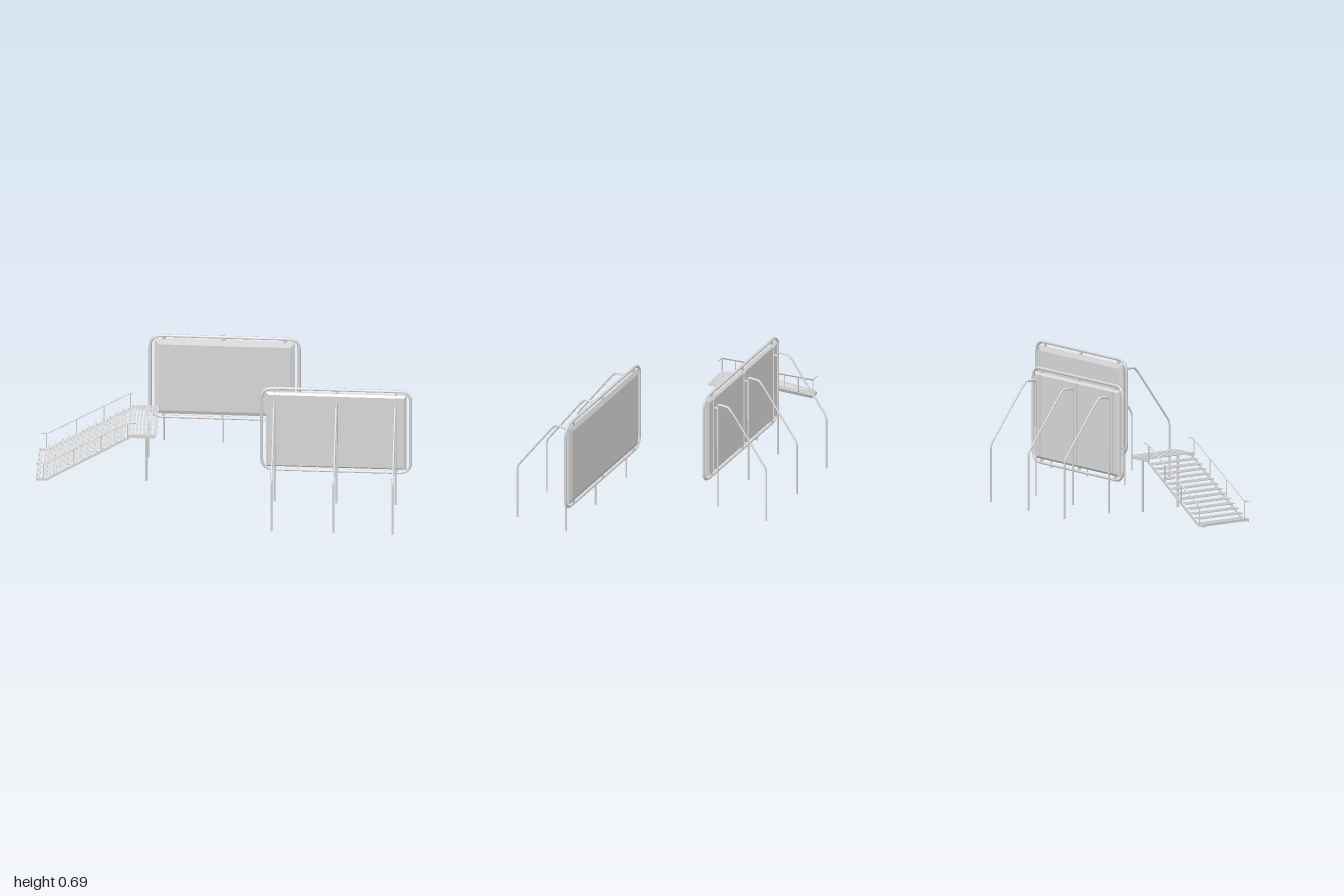
import * as THREE from 'three';

const steel = new THREE.MeshStandardMaterial({ color: 0xd9d9d9, side: THREE.DoubleSide });
steel.name = 'light grey steel';
const V = (x, y, z) => new THREE.Vector3(x, y, z);

function add(parent, name, geometry, x = 0, y = 0, z = 0) {
  const mesh = new THREE.Mesh(geometry, steel);
  mesh.name = name;
  mesh.position.set(x, y, z);
  parent.add(mesh);
  return mesh;
}

const box = (parent, name, w, h, d, x, y, z) =>
  add(parent, name, new THREE.BoxGeometry(w, h, d), x, y, z);

// Pipe along straight runs with rounded bends
function pipe(parent, name, points, radius, bend, closed = false, segments = 60) {
  const path = new THREE.CurvePath();
  const n = points.length;
  const corner = i => {
    const p = points[i], a = points[(i + n - 1) % n], b = points[(i + 1) % n];
    return [p.clone().add(a.clone().sub(p).setLength(bend)), p, p.clone().add(b.clone().sub(p).setLength(bend))];
  };
  let last = closed ? corner(n - 1)[2] : points[0];
  for (let i = closed ? 0 : 1; i < (closed ? n : n - 1); i++) {
    const [a, p, b] = corner(i);
    path.add(new THREE.LineCurve3(last, a));
    path.add(new THREE.QuadraticBezierCurve3(a, p, b));
    last = b;
  }
  if (!closed) path.add(new THREE.LineCurve3(last, points[n - 1]));
  return add(parent, name, new THREE.TubeGeometry(path, segments, radius, 8, closed));
}

// Board with bevelled edges on both faces
function boardGeometry(w, h, d) {
  const g = new THREE.BoxGeometry(w, h, d, 1, 1, 3);
  const p = g.attributes.position;
  for (let i = 0; i < p.count; i++) {
    const z = p.getZ(i);
    if (Math.abs(z) < d * 0.4) continue;
    const inset = z < 0 ? 0.025 : 0.012;
    p.setX(i, p.getX(i) - Math.sign(p.getX(i)) * inset);
    p.setY(i, p.getY(i) - Math.sign(p.getY(i)) * inset);
  }
  const flat = g.toNonIndexed();
  flat.computeVertexNormals();
  return flat;
}

// Framed board held by bent pipe supports on its +z side
function createBoard(name, supports) {
  const g = new THREE.Group();
  g.name = name;
  const z = 0.245, y = 0.428, hx = 0.395, hy = 0.253;
  add(g, 'panel', boardGeometry(0.744, 0.462, 0.03), 0, y, z);
  pipe(g, 'roundedFrame', [V(-hx, y - hy, z), V(hx, y - hy, z), V(hx, y + hy, z), V(-hx, y + hy, z)],
    0.008, 0.065, true, 160);
  for (const x of supports) {
    // Slim pipe from the ground, over the top and down to the rear foot
    pipe(g, 'support', [V(x, 0, 0.286), V(x, 0.625, 0.286), V(x, 0.625, 0.355), V(x, 0.312, 0.582), V(x, 0, 0.582)],
      0.005, 0.02, false, 90);
    // Slightly thicker sleeve at the head
    pipe(g, 'supportSleeve', [V(x, 0.37, 0.286), V(x, 0.625, 0.286), V(x, 0.625, 0.352), V(x, 0.603, 0.368)],
      0.0062, 0.015, false, 50);
    // Mounting rail and clamps
    box(g, 'mountingRail', 0.01, 0.43, 0.006, x, 0.435, 0.263);
    for (const cy of [0.22, 0.6]) box(g, 'clamp', 0.01, 0.006, 0.026, x, cy, 0.273);
    for (const s of [-1, 1]) box(g, 'frameTab', 0.014, 0.028, 0.012, x, y + s * 0.238, z);
  }
  return g;
}

function createStairs() {
  const g = new THREE.Group();
  g.name = 'stairs';
  const steps = 13, x0 = -0.962, x1 = -0.535, y0 = 0.017, y1 = 0.275;

  // Slatted treads
  for (let i = 0; i < steps; i++) {
    const t = i / (steps - 1);
    const x = x0 + (x1 - x0) * t, y = y0 + (y1 - y0) * t;
    for (const dx of [-0.02, 0, 0.02]) box(g, 'treadSlat', 0.01, 0.005, 0.292, x + dx, y, 0);
  }

  // Slim sloped side beams, handrails and posts
  for (const s of [-1, 1]) {
    const z = s * 0.147;
    const beam = new THREE.Shape([[-1, 0], [-0.945, 0], [-0.5, 0.28], [-0.5, 0.302], [-0.512, 0.302],
      [-0.512, 0.288], [-0.95, 0.014], [-1, 0.014]].map(p => new THREE.Vector2(...p)));
    add(g, 'sideBeam', new THREE.ExtrudeGeometry(beam, { depth: 0.006, bevelEnabled: false }), 0, 0, z - 0.003);
    pipe(g, 'handrail', [V(-1, 0.108, s * 0.15), V(-0.955, 0.108, s * 0.15), V(-0.51, 0.378, s * 0.15),
      V(-0.47, 0.38, s * 0.15)], 0.0035, 0.012);
    for (const [x, low, high] of [[-0.96, 0.01, 0.108], [-0.8, 0.1, 0.203], [-0.655, 0.19, 0.291], [-0.515, 0.285, 0.375]])
      add(g, 'railPost', new THREE.CylinderGeometry(0.003, 0.003, high - low, 8), x, (low + high) / 2, s * 0.15);

    // Landing side rail, leg and leg plates
    box(g, 'landingSide', 0.136, 0.02, 0.006, -0.436, 0.292, s * 0.146);
    add(g, 'leg', new THREE.CylinderGeometry(0.0065, 0.0065, 0.29, 10), -0.417, 0.145, s * 0.117);
    box(g, 'legPlate', 0.034, 0.006, 0.034, -0.417, 0.293, s * 0.117);
  }

  // Landing deck
  for (let i = 0; i < 8; i++) box(g, 'landingSlat', 0.01, 0.005, 0.29, -0.505 + i * 0.0185, 0.3, 0);
  box(g, 'landingEnd', 0.007, 0.01, 0.282, -0.365, 0.297, 0);
  box(g, 'bottomEdge', 0.008, 0.014, 0.29, -0.996, 0.013, 0);
  return g;
}

export function createModel() {
  const model = new THREE.Group();
  model.name = 'boardsAndStairs';
  const front = createBoard('frontBoard', [-0.325, 0.005, 0.317]);
  front.position.x = 0.597;
  const back = createBoard('backBoard', [-0.317, 0.01, 0.325]);
  back.rotation.y = Math.PI;
  back.position.x = -0.02;
  model.add(front, back, createStairs());
  return model;
}
